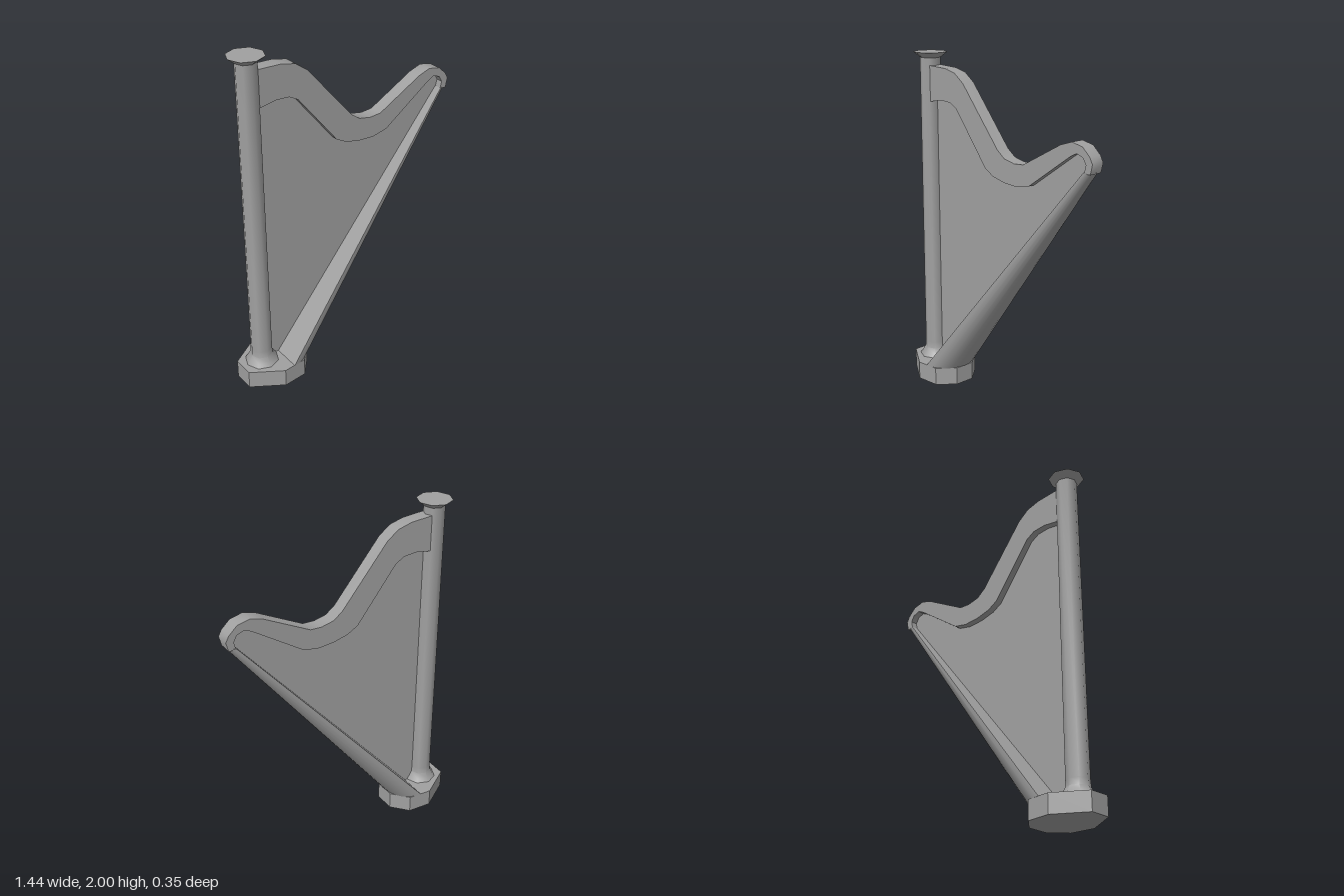
import * as THREE from 'three';
import { toCreasedNormals } from 'three/addons/utils/BufferGeometryUtils.js';

const grey = new THREE.MeshStandardMaterial({ color: 0xa0a0a0 });
grey.name = 'grey';
const greySheet = new THREE.MeshStandardMaterial({ color: 0xa0a0a0, side: THREE.DoubleSide });
greySheet.name = 'grey';

const shapeOf = (pts) => new THREE.Shape(pts.map(([x, y]) => new THREE.Vector2(x, y)));

function extrude(pts, depth) {
  return new THREE.ExtrudeGeometry(shapeOf(pts), { depth, bevelEnabled: false });
}

// Tapered half-round body: flat front, curved back, between two level sections
function halfRoundLoft(bottom, top, steps) {
  const ring = ({ x, y, depth, half }) => Array.from({ length: steps + 1 }, (_, i) => {
    const a = -Math.PI / 2 + (Math.PI * i) / steps;
    return [x + depth * Math.cos(a), y, half * Math.sin(a)];
  });
  const lo = ring(bottom), hi = ring(top), pos = [];
  const tri = (a, b, c) => pos.push(...a, ...b, ...c);
  for (let i = 0; i <= steps; i++) {
    const j = (i + 1) % (steps + 1);
    tri(lo[i], hi[i], hi[j]);
    tri(lo[i], hi[j], lo[j]);
    if (i > 0 && i < steps) {
      tri(hi[0], hi[j], hi[i]);
      tri(lo[0], lo[i], lo[j]);
    }
  }
  const geo = new THREE.BufferGeometry();
  geo.setAttribute('position', new THREE.Float32BufferAttribute(pos, 3));
  return toCreasedNormals(geo, 0.7);
}

export function createModel() {
  const harp = new THREE.Group();
  harp.name = 'harp';
  const add = (name, geo, mat = grey) => {
    const mesh = new THREE.Mesh(geo, mat);
    mesh.name = name;
    harp.add(mesh);
    return mesh;
  };

  // Eight-sided foot block
  const side = [[-0.725, 0.062], [-0.547, 0.174], [-0.405, 0.16], [-0.32, 0.062]];
  const outline = [...side, ...side.map(([x, z]) => [x, -z]).reverse()];
  const base = extrude(outline, 0.108);
  base.rotateX(-Math.PI / 2);
  add('base', base);

  // Column with a flared foot and a flat capital, eight sides
  const column = [[0.1, 0.105], [0.083, 0.13], [0.066, 0.16], [0.063, 0.2], [0.06, 1.97]]
    .map(([r, y]) => new THREE.Vector2(r, y));
  const pillar = add('pillar', toCreasedNormals(new THREE.LatheGeometry(column, 8), 0.8));
  pillar.position.x = -0.595;
  const cap = new THREE.CylinderGeometry(0.101, 0.06, 0.032, 8).toNonIndexed();
  cap.computeVertexNormals();
  add('capital', cap).position.set(-0.595, 1.984, 0);

  // Soundbox leaning out from the base
  add('soundbox', halfRoundLoft(
    { x: -0.482, y: 0.106, depth: 0.162, half: 0.17 },
    { x: 0.664, y: 1.497, depth: 0.045, half: 0.045 }, 12));

  // Curved neck from the column to the curl over the soundbox
  const outer = [[-0.6, 1.925], [-0.535, 1.925], [-0.415, 1.92], [-0.33, 1.9], [-0.26, 1.85],
    [0.025, 1.515], [0.08, 1.475], [0.155, 1.46], [0.225, 1.465], [0.5, 1.615], [0.575, 1.64],
    [0.65, 1.625], [0.7, 1.58], [0.719, 1.545], [0.706, 1.49]];
  const inner = [[0.664, 1.49], [0.675, 1.535], [0.655, 1.57], [0.61, 1.585], [0.57, 1.565],
    [0.27, 1.355], [0.18, 1.335], [0.08, 1.34], [-0.01, 1.36], [-0.075, 1.395], [-0.32, 1.7],
    [-0.375, 1.73], [-0.455, 1.735], [-0.535, 1.72], [-0.6, 1.715]];
  const neck = extrude([...outer, ...inner], 0.08);
  neck.translate(0, 0, -0.04);
  add('neck', toCreasedNormals(neck, 0.75));

  // Flat sheet standing in for the strings
  const sheet = [[-0.56, 0.11], [-0.482, 0.106], ...inner];
  add('strings', new THREE.ShapeGeometry(shapeOf(sheet)), greySheet);

  return harp;
}
